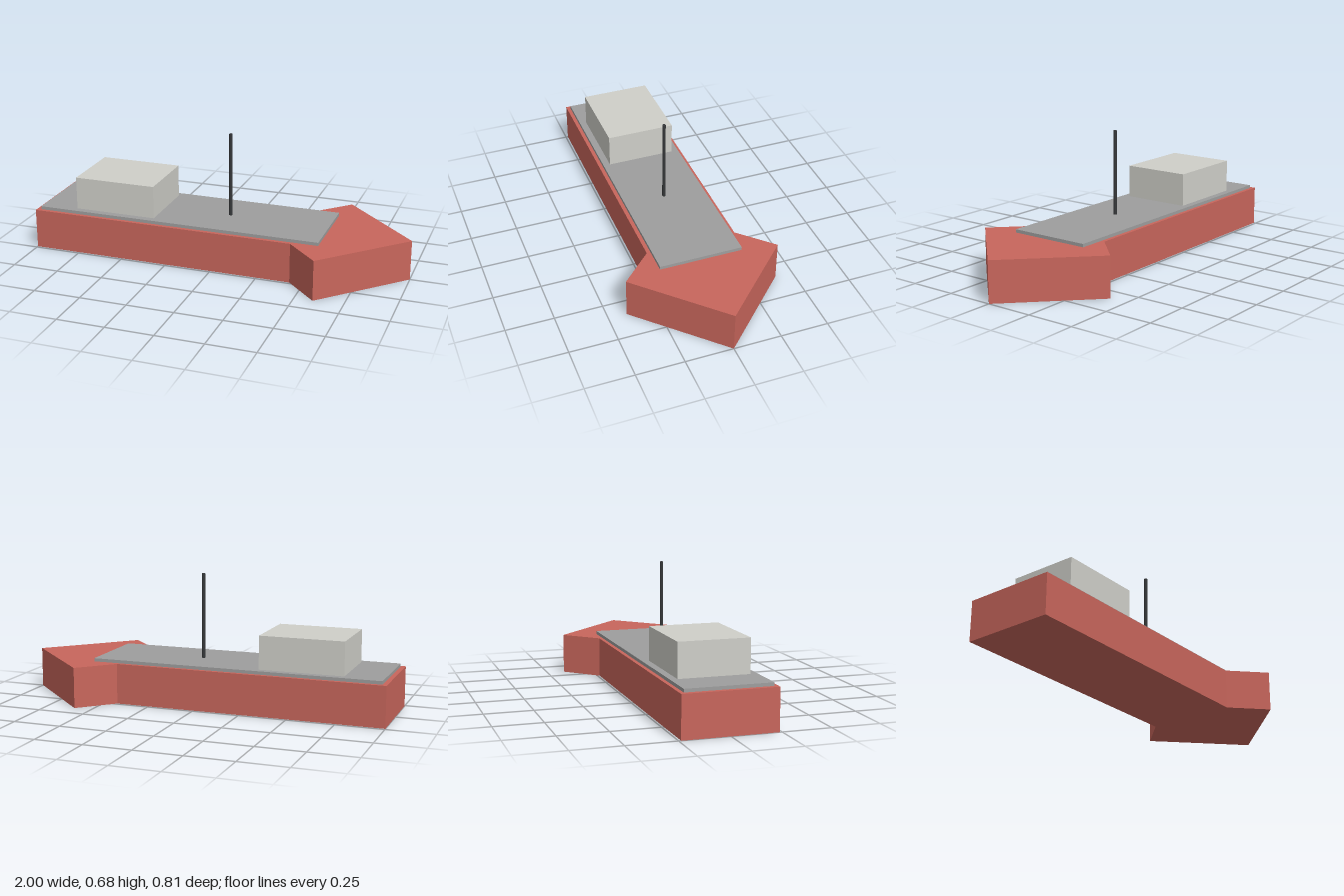
import * as THREE from 'three';

export function createModel() {
  const ship = new THREE.Group();
  ship.name = 'ship';

  const mat = (name, color) => {
    const m = new THREE.MeshStandardMaterial({ color });
    m.name = name;
    return m;
  };
  const red = mat('hull red', 0xc8665c);
  const grey = mat('deck grey', 0x9e9e9e);
  const pale = mat('cabin pale grey', 0xcfcfc9);
  const dark = mat('mast dark grey', 0x36383a);

  const add = (name, geometry, material, x = 0, y = 0) => {
    const mesh = new THREE.Mesh(geometry, material);
    mesh.name = name;
    mesh.position.set(x, y, 0);
    ship.add(mesh);
  };

  // Hull: straight barge body ending in a diamond-shaped bow
  const halfOutline = [[-1, 0.238], [0.428, 0.238], [0.595, 0.405]];
  const outline = [
    ...halfOutline.map(([x, z]) => new THREE.Vector2(x, -z)),
    new THREE.Vector2(1, 0),
    ...halfOutline.slice().reverse().map(([x, z]) => new THREE.Vector2(x, z)),
  ];
  const hull = new THREE.ExtrudeGeometry(new THREE.Shape(outline), { depth: 0.213, bevelEnabled: false });
  hull.rotateX(-Math.PI / 2);
  add('hull', hull, red);

  // Thin deck slab overlapping the bow
  add('deck', new THREE.BoxGeometry(1.544, 0.017, 0.436), grey, -0.204, 0.2215);

  // Cabin near the stern
  add('cabin', new THREE.BoxGeometry(0.443, 0.191, 0.363), pale, -0.556, 0.3095);

  // Mast amidships
  add('mast', new THREE.CylinderGeometry(0.009, 0.009, 0.45, 12), dark, 0.032, 0.455);

  return ship;
}
